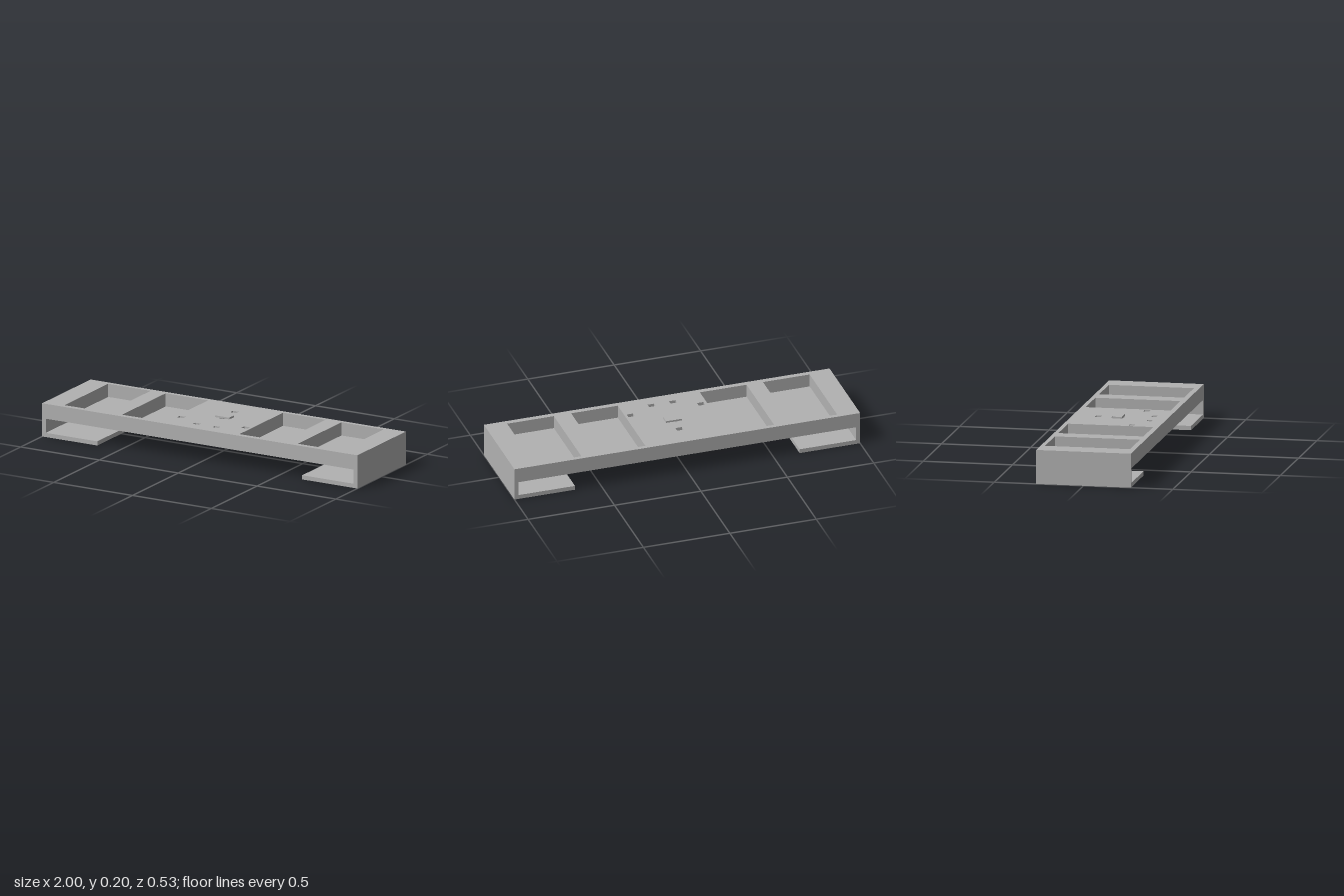
import * as THREE from 'three';

const grey = new THREE.MeshStandardMaterial({ color: 0xb2b2b2 });
grey.name = 'grey';

const DEPTH = 0.53;

// Rectangle on the x/z plane, drawn as a shape or hole outline
function rect(path, [x, z, w, d]) {
  const l = x - w / 2, r = x + w / 2, b = -z - d / 2, t = -z + d / 2;
  path.moveTo(l, b).lineTo(r, b).lineTo(r, t).lineTo(l, t).closePath();
  return path;
}

// Horizontal layer of the deck between two heights, pierced by openings
function layer(name, y0, y1, openings) {
  const shape = rect(new THREE.Shape(), [0, 0, 2, DEPTH]);
  for (const o of openings) shape.holes.push(rect(new THREE.Path(), o));
  const geo = new THREE.ExtrudeGeometry(shape, { depth: y1 - y0, bevelEnabled: false });
  geo.rotateX(-Math.PI / 2).translate(0, y0, 0);
  const mesh = new THREE.Mesh(geo, grey);
  mesh.name = name;
  return mesh;
}

export function createModel() {
  const model = new THREE.Group();
  model.name = 'trayBench';

  // Openings: [centre x, centre z, width, depth]
  const trays = [-0.74, -0.375, 0.37, 0.74].map(x => [x, -0.003, 0.27, 0.476]);
  const screws = [[-0.003, -0.12], [-0.205, 0.11], [0.202, 0.11]];
  const screwHoles = screws.map(([x, z]) => [x, z, 0.02, 0.018]);
  const screwHeads = screws.map(([x, z]) => [x, z, 0.037, 0.031]);
  const sockets = [-0.066, 0.058].map(x => [x, 0.18, 0.037, 0.027]);
  const slot = [-0.003, -0.009, 0.036, 0.07];

  // Deck: closed floor, tray walls, then the top with its shallow recesses
  model.add(layer('deckFloor', 0.105, 0.115, screwHoles));
  model.add(layer('deckWalls', 0.115, 0.165, [...trays, ...screwHoles]));
  model.add(layer('deckTop', 0.165, 0.19, [...trays, ...screwHeads, ...sockets, slot]));

  // Raised block bridging the centre slot
  const block = new THREE.Mesh(new THREE.BoxGeometry(0.092, 0.01, 0.053), grey);
  block.name = 'centreBlock';
  block.position.set(-0.001, 0.195, -0.0065);
  model.add(block);

  // L-shaped side brackets: thin upright and inward foot
  for (const [side, s] of [['left', 1], ['right', -1]]) {
    const profile = new THREE.Shape([
      [1, 0], [1, 0.105], [0.977, 0.105], [0.977, 0.024], [0.65, 0.024], [0.65, 0],
    ].map(([x, y]) => new THREE.Vector2(s * x, y)));
    const geo = new THREE.ExtrudeGeometry(profile, { depth: DEPTH, bevelEnabled: false });
    geo.translate(0, 0, -DEPTH / 2);
    const bracket = new THREE.Mesh(geo, grey);
    bracket.name = side + 'Bracket';
    model.add(bracket);
  }
  return model;
}
